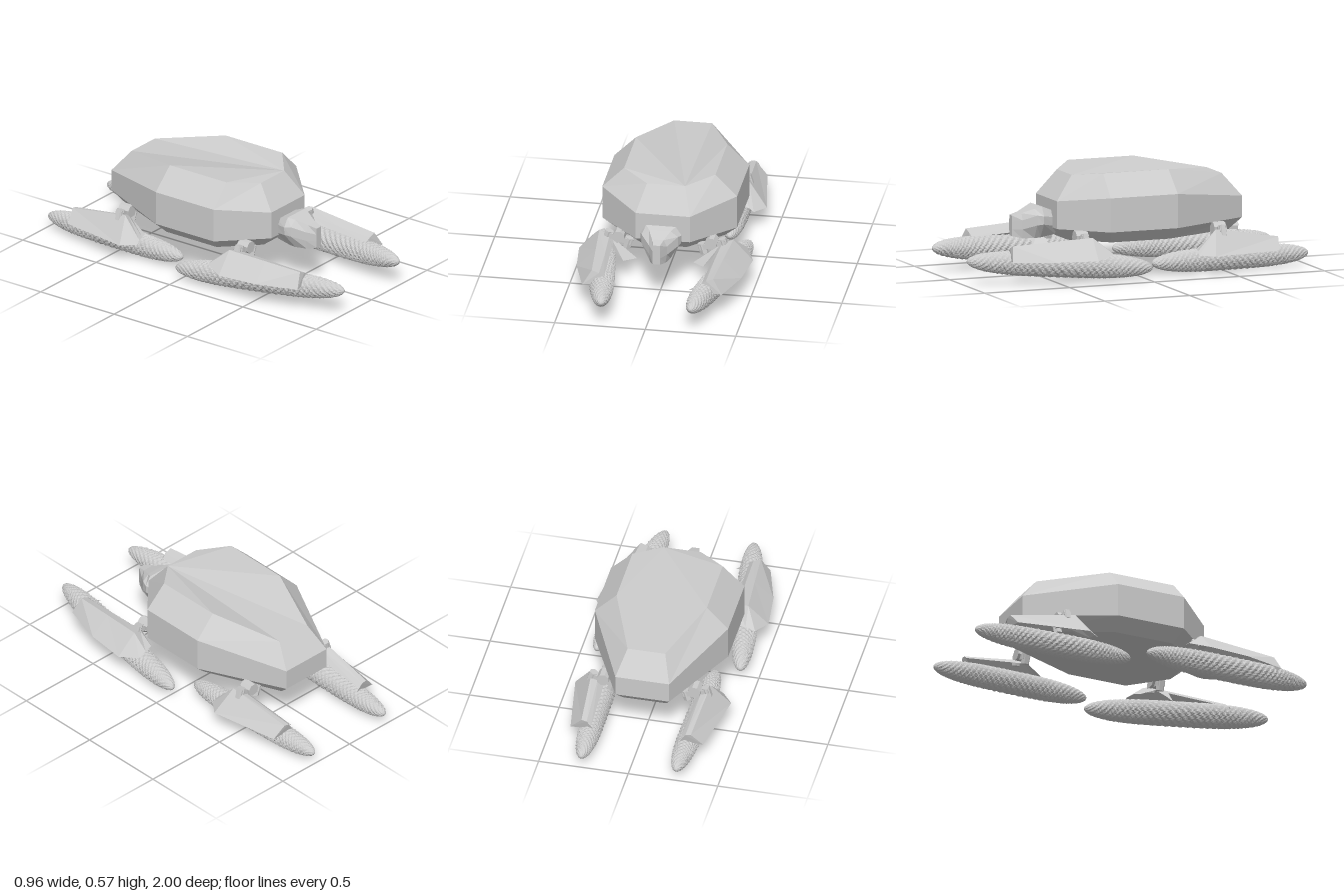
import * as THREE from 'three';

const solid = new THREE.MeshStandardMaterial({ color: 0xcccccc, flatShading: true });
const sheet = new THREE.MeshStandardMaterial({ color: 0xcccccc, flatShading: true, side: THREE.DoubleSide });
const V = (x, y, z) => new THREE.Vector3(x, y, z);

// Skin a run of cross-sections; side = -1 mirrors in x and keeps faces outward.
function loft(rings, { side = 1, closed = true, caps = true } = {}) {
  const pos = [];
  const tri = (a, b, c) => {
    for (const p of side > 0 ? [a, b, c] : [a, c, b]) pos.push(p.x * side, p.y, p.z);
  };
  const n = rings[0].length;
  for (let r = 0; r + 1 < rings.length; r++) {
    for (let i = 0; i < (closed ? n : n - 1); i++) {
      const j = (i + 1) % n, lo = rings[r], hi = rings[r + 1];
      tri(lo[i], lo[j], hi[j]);
      tri(lo[i], hi[j], hi[i]);
    }
  }
  if (caps) {
    const first = rings[0], last = rings[rings.length - 1];
    for (let i = 1; i + 1 < n; i++) {
      tri(first[0], first[i + 1], first[i]);
      tri(last[0], last[i], last[i + 1]);
    }
  }
  const g = new THREE.BufferGeometry();
  g.setAttribute('position', new THREE.Float32BufferAttribute(pos, 3));
  g.computeVertexNormals();
  return g;
}

function add(parent, name, geometry, material = solid) {
  const m = new THREE.Mesh(geometry, material);
  m.name = name;
  parent.add(m);
  return m;
}

// Eight-cornered shell level: front, side and back each have their own height.
function shellLevel([xf, xs, xb], [zf, zs1, zs2, zb], [yf, ys, yb]) {
  const half = [V(xf, yf, zf), V(xs, ys, zs1), V(xs, ys, zs2), V(xb, yb, zb)];
  return [...half, ...half.slice().reverse().map(p => V(-p.x, p.y, p.z))];
}

// Head slice: half outline mirrored about x = 0, counter-clockwise from the front.
function headSlice(z, half) {
  return [...half.map(([x, y]) => V(x, y, z)), ...half.slice().reverse().map(([x, y]) => V(-x, y, z))];
}

// Rope-like spindle with spiral ridges between two tips.
function spindle(from, to, radius, side) {
  const axis = to.clone().sub(from).normalize();
  const u = V(1, 0, 0).addScaledVector(axis, -axis.x).normalize();
  const v = axis.clone().cross(u);
  const steps = 90, around = 60, starts = 10, turns = 3.2;
  const rings = [];
  for (let k = 0; k <= steps; k++) {
    const t = -Math.cos(Math.PI * k / steps);
    const r = radius * Math.sqrt(Math.max(1 - Math.abs(t) ** 3.4, 0.0004));
    const centre = from.clone().lerp(to, (t + 1) / 2);
    rings.push(Array.from({ length: around }, (_, i) => {
      const a = i / around * Math.PI * 2;
      const phase = (((i / around + turns * t / 2) * starts) % 1 + 1) % 1;
      const rr = r * (0.9 + 0.12 * (1 - Math.abs(2 * phase - 1)));
      return centre.clone().addScaledVector(u, Math.cos(a) * rr).addScaledVector(v, Math.sin(a) * rr);
    }));
  }
  return loft(rings, { side });
}

// Angular guard: outer skirt, flat top, short inner lip, and a plate at each end.
function fender(g, name, stations, plates, side) {
  const rings = stations.map(s => s.map(p => V(...p)));
  const group = new THREE.Group();
  group.name = name;
  g.add(group);
  add(group, name + 'Shell', loft(rings, { side, closed: false, caps: false }), sheet);
  plates.forEach(plate => {
    const c = plate.map(p => V(...p));
    add(group, name + 'EndPlate', loft([[c[0], c[1]], [c[3], c[2]]], { side, closed: false, caps: false }), sheet);
  });
}

// Faceted joint with a tilted arm, tying the body to the guard.
function hip(g, name, x, y, z, side) {
  const group = new THREE.Group();
  group.name = name;
  group.position.set(x * side, y, z);
  group.rotation.z = side * 0.3;
  g.add(group);
  const pivot = add(group, name + 'Pivot', new THREE.CylinderGeometry(0.035, 0.035, 0.07, 8));
  pivot.rotation.x = Math.PI / 2;
  add(group, name + 'Arm', new THREE.BoxGeometry(0.15, 0.03, 0.04)).position.y = -0.015;
  for (const d of [-1, 1]) {
    const knuckle = add(group, name + 'Knuckle', new THREE.CylinderGeometry(0.024, 0.024, 0.06, 6));
    knuckle.position.set(d * side * 0.06, -0.025, 0);
  }
}

export function createModel() {
  const model = new THREE.Group();

  // Body shell, from the belly up
  add(model, 'bodyShell', loft([
    shellLevel([0.12, 0.30, 0.12], [0.355, 0.17, -0.17, -0.59], [0.2, 0.2, 0.2]),
    shellLevel([0.15, 0.372, 0.15], [0.43, 0.205, -0.19, -0.66], [0.267, 0.267, 0.267]),
    shellLevel([0.15, 0.372, 0.15], [0.43, 0.205, -0.19, -0.66], [0.42, 0.455, 0.385]),
    shellLevel([0.105, 0.252, 0.105], [0.325, 0.2, -0.185, -0.557], [0.553, 0.575, 0.51]),
  ]));

  // Head: neck, broad cheeks, then a narrow flat snout
  add(model, 'head', loft([
    headSlice(0.40, [[0.05, 0.225], [0.075, 0.27], [0.075, 0.32], [0.06, 0.35]]),
    headSlice(0.49, [[0.06, 0.212], [0.112, 0.29], [0.114, 0.335], [0.082, 0.383]]),
    headSlice(0.525, [[0.06, 0.21], [0.10, 0.285], [0.1, 0.34], [0.06, 0.372]]),
    headSlice(0.59, [[0.042, 0.21], [0.05, 0.26], [0.05, 0.31], [0.032, 0.347]]),
    headSlice(0.64, [[0.02, 0.222], [0.021, 0.26], [0.021, 0.3], [0.02, 0.335]]),
  ]));

  for (const side of [1, -1]) {
    const label = side > 0 ? 'left' : 'right';

    // Front leg
    const front = new THREE.Group();
    front.name = label + 'FrontLeg';
    model.add(front);
    add(front, 'frontSpindle', spindle(V(0.402, 0.065, -0.03), V(0.245, 0.138, 1.0), 0.071, side));
    fender(front, 'frontFender', [
      [[0.43, 0.155, 0.21], [0.375, 0.17, 0.215], [0.32, 0.17, 0.23], [0.29, 0.16, 0.25]],
      [[0.48, 0.132, 0.32], [0.37, 0.244, 0.31], [0.31, 0.225, 0.33], [0.285, 0.2, 0.34]],
      [[0.455, 0.134, 0.55], [0.352, 0.232, 0.54], [0.30, 0.214, 0.54], [0.277, 0.19, 0.54]],
      [[0.385, 0.138, 0.785], [0.335, 0.22, 0.765], [0.295, 0.205, 0.765], [0.268, 0.18, 0.765]],
    ], [
      [[0.385, 0.138, 0.785], [0.335, 0.22, 0.765], [0.295, 0.205, 0.765], [0.20, 0.14, 0.755]],
      [[0.31, 0.225, 0.33], [0.285, 0.2, 0.42], [0.22, 0.12, 0.42], [0.155, 0.108, 0.35]],
    ], side);
    hip(front, 'frontHip', 0.255, 0.235, 0.335, side);

    // Back leg
    const back = new THREE.Group();
    back.name = label + 'BackLeg';
    model.add(back);
    add(back, 'backSpindle', spindle(V(0.282, 0.067, -0.075), V(0.265, 0.07, -1.0), 0.066, side));
    fender(back, 'backFender', [
      [[0.375, 0.11, -0.315], [0.35, 0.13, -0.32], [0.31, 0.13, -0.33], [0.27, 0.13, -0.34]],
      [[0.435, 0.107, -0.39], [0.33, 0.24, -0.43], [0.29, 0.225, -0.44], [0.255, 0.19, -0.44]],
      [[0.37, 0.107, -0.79], [0.305, 0.175, -0.808], [0.275, 0.17, -0.81], [0.25, 0.15, -0.81]],
    ], [
      [[0.37, 0.107, -0.79], [0.305, 0.175, -0.808], [0.275, 0.17, -0.81], [0.24, 0.12, -0.80]],
    ], side);
    hip(back, 'backHip', 0.255, 0.235, -0.475, side);
  }
  return model;
}
